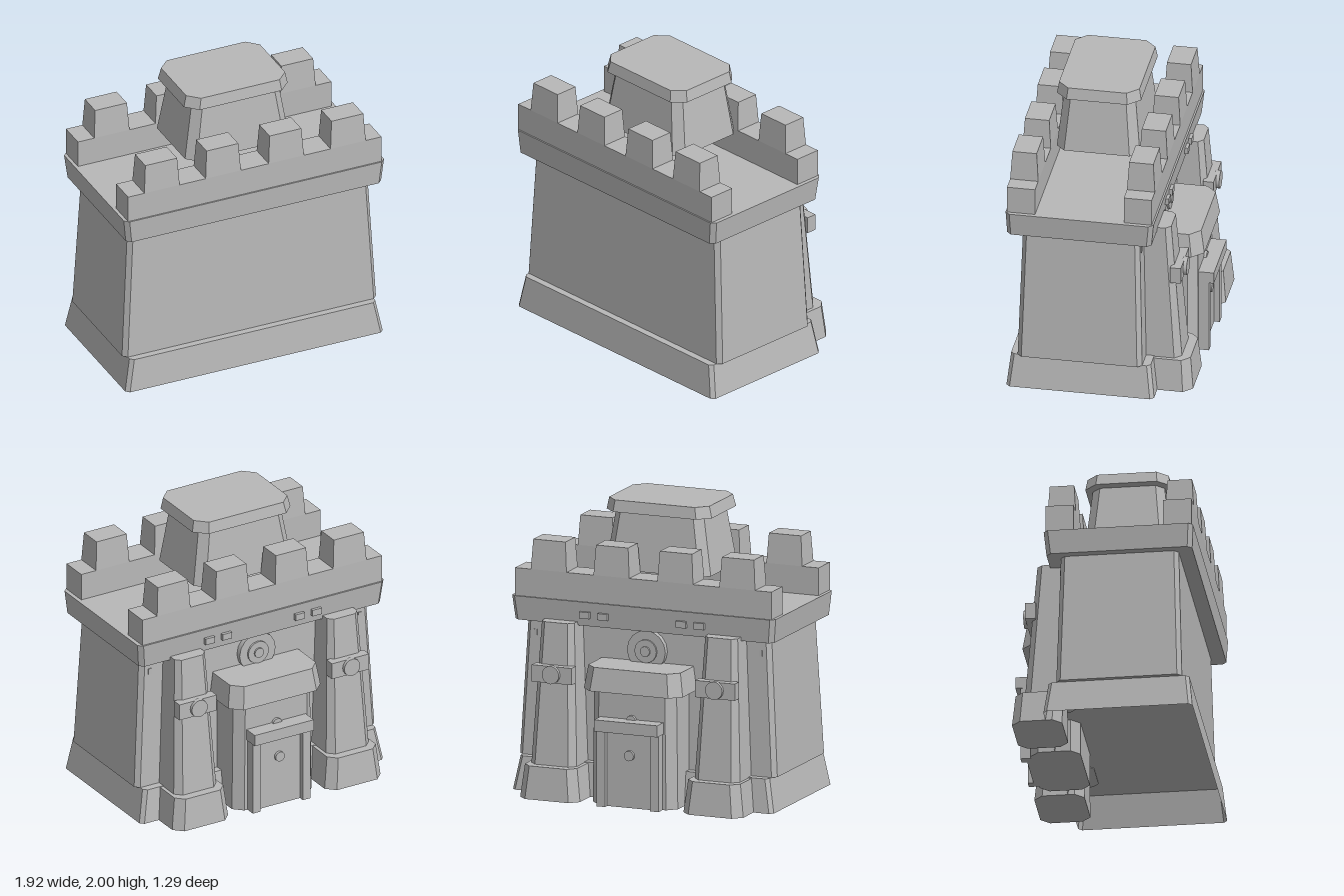
import * as THREE from 'three';

const stone = new THREE.MeshStandardMaterial({ color: 0xb8b8b8, side: THREE.DoubleSide });
stone.name = 'stone';

// Corner-cut rectangle, counter-clockwise from above. Section: [y, x0, x1, z0, z1, cut]
function ring([y, x0, x1, z0, z1, c]) {
  return [
    [x1, y, z1 - c], [x1, y, z0 + c], [x1 - c, y, z0], [x0 + c, y, z0],
    [x0, y, z0 + c], [x0, y, z1 - c], [x0 + c, y, z1], [x1 - c, y, z1],
  ];
}

// Tapered block between two sections, with flat faces
function block(name, lower, upper, bottomCap = true) {
  const a = ring(lower), b = ring(upper), pos = [];
  const tri = (...pts) => pts.forEach((p) => pos.push(...p));
  for (let i = 0; i < 8; i++) {
    const j = (i + 1) % 8;
    tri(a[i], a[j], b[j]);
    tri(a[i], b[j], b[i]);
    if (i > 0 && i < 7) {
      tri(b[0], b[i], b[j]);
      if (bottomCap) tri(a[0], a[j], a[i]);
    }
  }
  const geo = new THREE.BufferGeometry();
  geo.setAttribute('position', new THREE.Float32BufferAttribute(pos, 3));
  geo.computeVertexNormals();
  const mesh = new THREE.Mesh(geo, stone);
  mesh.name = name;
  return mesh;
}

// Box given by its limits
function box(name, x0, x1, y0, y1, z0, z1) {
  const mesh = new THREE.Mesh(new THREE.BoxGeometry(x1 - x0, y1 - y0, z1 - z0), stone);
  mesh.position.set((x0 + x1) / 2, (y0 + y1) / 2, (z0 + z1) / 2);
  mesh.name = name;
  return mesh;
}

// Round plate facing the gate side, from depth z0 (outer) to z1 (inner)
function disc(name, x, y, r, z0, z1) {
  const geo = new THREE.CylinderGeometry(r, r, z1 - z0, 16).rotateX(Math.PI / 2);
  const mesh = new THREE.Mesh(geo, stone);
  mesh.position.set(x, y, (z0 + z1) / 2);
  mesh.name = name;
  return mesh;
}

export function createModel() {
  const castle = new THREE.Group();
  castle.name = 'castle';

  // Main hall: hollow plinth, battered walls, overhanging cornice
  const plinth = block('plinth', [0, -0.95, 0.95, -0.365, 0.64, 0.025], [0.23, -0.907, 0.907, -0.335, 0.615, 0.025], false);
  const walls = block('walls', [0.23, -0.937, 0.937, -0.28, 0.567, 0.03], [1.165, -0.886, 0.886, -0.255, 0.54, 0.03]);
  const cornice = block('cornice', [1.165, -0.942, 0.942, -0.345, 0.637, 0.03], [1.33, -0.96, 0.96, -0.362, 0.645, 0.03]);
  castle.add(plinth, walls, cornice);

  // Parapets with four tapered merlons each
  for (const [z0, z1] of [[0.444, 0.635], [-0.35, -0.16]]) {
    castle.add(box('parapet', -0.937, 0.932, 1.33, 1.52, z0, z1));
    for (const x of [-0.687, -0.235, 0.23, 0.687]) {
      castle.add(block('merlon',
        [1.52, x - 0.13, x + 0.13, z0, z1, 0],
        [1.725, x - 0.117, x + 0.117, z0 + 0.013, z1 - 0.013, 0]));
    }
  }

  // Roof turret and its cap
  castle.add(
    block('turret', [1.525, -0.385, 0.38, -0.155, 0.41, 0.06], [1.92, -0.32, 0.32, -0.115, 0.37, 0.055]),
    block('turretCap', [1.92, -0.385, 0.38, -0.16, 0.413, 0.08], [2, -0.365, 0.365, -0.147, 0.4, 0.075]),
  );

  // Flanking buttress towers with round lamps, and small cornice blocks
  for (const s of [-1, 1]) {
    const x = s * 0.595;
    const tower = new THREE.Group();
    tower.name = s > 0 ? 'leftButtress' : 'rightButtress';
    tower.add(
      block('buttressBase', [0, x - 0.218, x + 0.218, -0.598, -0.26, 0.06], [0.225, x - 0.19, x + 0.19, -0.577, -0.26, 0.055]),
      block('buttressShaft', [0.225, x - 0.165, x + 0.165, -0.515, -0.2, 0.045], [1.19, x - 0.118, x + 0.118, -0.436, -0.2, 0.035]),
      box('lampBar', x - 0.145, x + 0.145, 0.79, 0.905, -0.512, -0.44),
      disc('lamp', x, 0.85, 0.062, -0.535, -0.5),
    );
    castle.add(tower);
    for (const bx of [s * 0.285, s * 0.417]) {
      castle.add(box('corniceStud', bx - 0.036, bx + 0.036, 1.22, 1.265, -0.377, -0.34));
    }
    castle.add(box('wallSlot', s * 0.82 - 0.012, s * 0.82 + 0.012, 1.05, 1.09, -0.263, -0.255));
  }

  // Gatehouse
  castle.add(
    block('gatehouse', [0, -0.31, 0.31, -0.538, -0.2, 0.06], [0.78, -0.3, 0.3, -0.535, -0.2, 0.06]),
    block('gatehouseRoof', [0.78, -0.36, 0.36, -0.587, -0.2, 0.075], [0.94, -0.335, 0.335, -0.562, -0.2, 0.07]),
  );

  // Door with posts, lintel and knob
  castle.add(
    box('door', -0.17, 0.17, 0, 0.515, -0.57, -0.53),
    box('doorLintel', -0.23, 0.23, 0.52, 0.6, -0.642, -0.53),
    disc('doorKnob', 0, 0.36, 0.035, -0.59, -0.56),
    disc('lintelBoss', 0, 0.595, 0.035, -0.555, -0.53),
  );
  for (const s of [-1, 1]) {
    castle.add(box('doorPost', s * 0.195 - 0.03, s * 0.195 + 0.03, 0, 0.52, -0.608, -0.53));
  }

  // Round ornament above the gatehouse
  castle.add(
    disc('ornamentPlate', 0, 1.02, 0.14, -0.295, -0.25),
    disc('ornamentRing', 0, 1.02, 0.08, -0.308, -0.29),
    disc('ornamentBoss', 0, 1.02, 0.035, -0.32, -0.3),
  );
  return castle;
}
